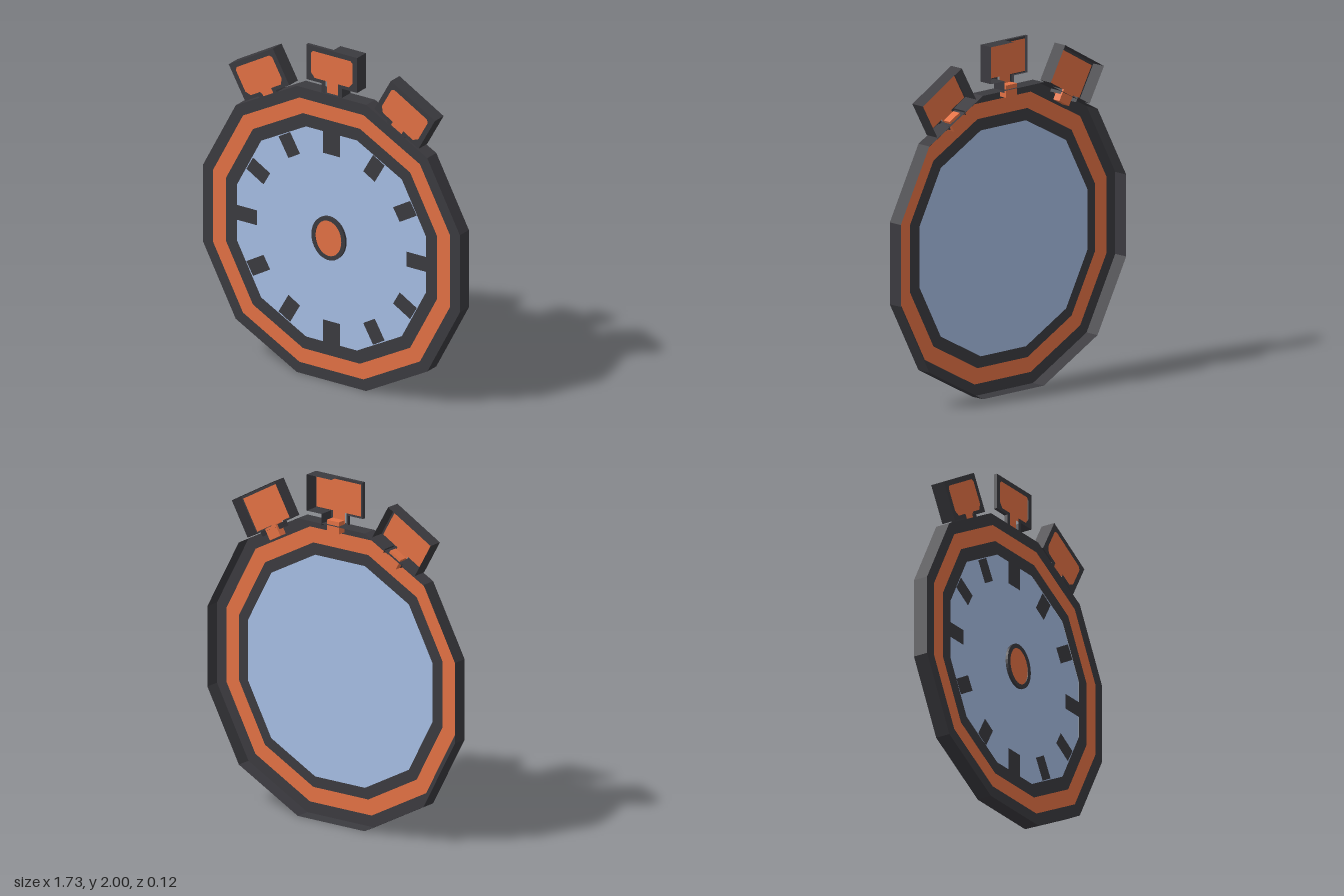
import * as THREE from 'three';

const CY = 0.867; // height of the dial centre
const BACK = -0.06, FRONT = 0.028; // depth of the case shell

const mat = (name, color) => {
  const m = new THREE.MeshStandardMaterial({ color, side: THREE.DoubleSide });
  m.name = name;
  return m;
};

const named = (name, geo, material) => {
  const mesh = new THREE.Mesh(geo, material);
  mesh.name = name;
  return mesh;
};

// Twelve-sided outline, its diagonal corners pushed out slightly
function outline(a) {
  const s = a * 0.27, d = a * 0.746;
  const pts = [];
  for (let i = 0; i < 4; i++) {
    const c = Math.round(Math.cos((i * Math.PI) / 2)), n = Math.round(Math.sin((i * Math.PI) / 2));
    for (const [x, y] of [[a, s], [d, d], [s, a]]) pts.push([x * c - y * n, x * n + y * c]);
  }
  return pts;
}

const vectors = (pts) => pts.map(([x, y]) => new THREE.Vector2(x, y));
const mirror = (pts, sx) => pts.map(([x, y]) => [x * sx, y]);

// Flat sheet facing forward
function sheet(name, shape, z, material) {
  return named(name, new THREE.ShapeGeometry(shape, 16).translate(0, 0, z), material);
}

// Wall running from front to back along a path
function wall(name, pts, z0, z1, material) {
  const pos = [];
  for (let i = 0; i < pts.length - 1; i++) {
    const a = pts[i], b = pts[i + 1];
    pos.push(...a, z0, ...b, z0, ...b, z1, ...a, z0, ...b, z1, ...a, z1);
  }
  const geo = new THREE.BufferGeometry();
  geo.setAttribute('position', new THREE.Float32BufferAttribute(pos, 3));
  geo.computeVertexNormals();
  return named(name, geo, material);
}

function ring(name, outer, inner, z, material) {
  const s = new THREE.Shape(vectors(outline(outer)));
  s.holes.push(new THREE.Path(vectors(outline(inner))));
  return sheet(name, s, z, material);
}

// Open-backed push button, measured outwards from the dial centre
function button(name, bottom, top, angle, halfOpen, dark, orange) {
  const g = new THREE.Group();
  g.name = name;
  const w = 0.171, stem = 0.068, slot = 0.042, base = 0.855;
  const edge = [[stem, base], [stem, bottom], [w, bottom], [w, top], [0, top]];
  const face = [
    ...edge, [0, top - 0.03], [w - 0.045, top - 0.03], [w - 0.03, top - 0.045],
    [w - 0.03, bottom + 0.05], [w - 0.055, bottom + 0.02], [slot, bottom + 0.02], [slot, base],
  ];
  // Frame and side walls in two mirrored halves
  for (const s of [1, -1]) {
    g.add(sheet('buttonFrame', new THREE.Shape(vectors(mirror(face, s))), 0.025, dark));
    const back = halfOpen && s < 0 ? 0.005 : BACK;
    g.add(wall('buttonWall', mirror(edge, s), back, 0.025, dark));
  }
  // Coloured inset, its stem and the peg behind the rim
  const x = w - 0.015, t = top - 0.015, z = halfOpen ? 0.01 : 0.017;
  g.add(sheet('buttonPanel', new THREE.Shape(vectors([
    [-x, t], [-x, bottom + 0.01], [-slot, bottom + 0.01], [-slot, base],
    [slot, base], [slot, bottom + 0.01], [x, bottom + 0.01], [x, t],
  ])), z, orange));
  const peg = named('buttonPeg', new THREE.BoxGeometry(0.084, 0.07, 0.05), orange);
  peg.position.set(0, 0.855, -0.02);
  g.add(peg);
  g.rotation.z = angle;
  return g;
}

export function createModel() {
  const model = new THREE.Group();
  model.name = 'stopwatch';
  const dark = mat('charcoal', 0x3b3a3f);
  const orange = mat('orange', 0xe27144);
  const blue = mat('dialBlue', 0xa5bde3);

  const watch = new THREE.Group();
  watch.name = 'watch';
  watch.position.y = CY;
  model.add(watch);

  // Open-backed case: outer wall, front rings and dial
  const rim = outline(0.866);
  watch.add(
    wall('caseWall', [...rim, rim[0]], BACK, FRONT, dark),
    ring('outerRing', 0.866, 0.8, FRONT, dark),
    ring('colourRing', 0.8, 0.711, FRONT, orange),
    ring('innerRing', 0.711, 0.636, FRONT, dark),
    sheet('dial', new THREE.Shape(vectors(outline(0.645))), 0.021, blue),
  );

  // Twelve hour marks, the top and bottom ones wider
  for (let i = 0; i < 12; i++) {
    const geo = new THREE.PlaneGeometry(i % 6 === 0 ? 0.113 : 0.09, 0.133);
    const mark = named('hourMark', geo.translate(0, 0.571, 0.027), dark);
    mark.rotation.z = (i * Math.PI) / 6;
    watch.add(mark);
  }

  // Oval hub floating in front of the dial
  const oval = (rx, ry, Type = THREE.Shape) => new Type().absellipse(0, 0.011, rx, ry, 0, Math.PI * 2);
  const hub = oval(0.114, 0.131);
  hub.holes.push(oval(0.088, 0.107, THREE.Path));
  const hubRim = new THREE.ExtrudeGeometry(hub, { depth: 0.015, bevelEnabled: false, curveSegments: 16 });
  watch.add(
    named('hubRim', hubRim.translate(0, 0, 0.045), dark),
    sheet('hubFace', oval(0.09, 0.109), 0.056, orange),
  );

  // Three buttons along the top
  watch.add(
    button('topButton', 0.922, 1.133, 0, true, dark, orange),
    button('rightButton', 0.885, 1.11, Math.PI / 6.1, false, dark, orange),
    button('leftButton', 0.885, 1.11, -Math.PI / 6.1, false, dark, orange),
  );

  return model;
}
